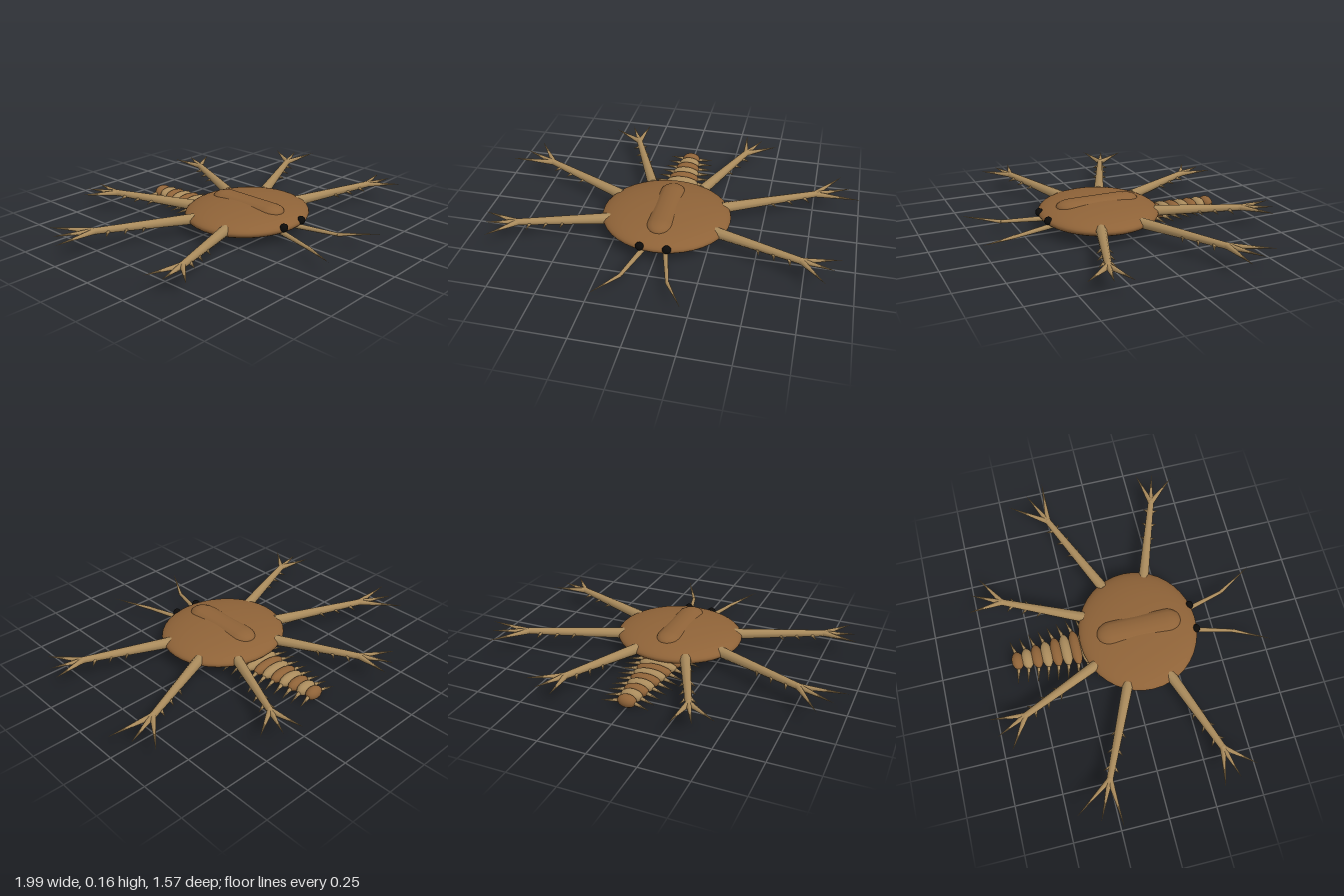
import * as THREE from 'three';

const shell = new THREE.MeshStandardMaterial({ color: 0x8f6338 });
shell.name = 'brown shell';
const limb = new THREE.MeshStandardMaterial({ color: 0xaa8b5c });
limb.name = 'tan limb';
const black = new THREE.MeshStandardMaterial({ color: 0x0c0b0a });
black.name = 'black eye';

const V = (x, y, z) => new THREE.Vector3(x, y, z);
const UP = V(0, 1, 0);

function add(parent, name, geometry, material) {
  const mesh = new THREE.Mesh(geometry, material);
  mesh.name = name;
  parent.add(mesh);
  return mesh;
}

// Tapered round rod from a to b; a zero end radius gives a spike
function rod(parent, name, a, b, r0, r1, material, sides = 10) {
  const dir = b.clone().sub(a);
  const mesh = add(parent, name, new THREE.CylinderGeometry(r1, r0, dir.length(), sides), material);
  mesh.position.copy(a).addScaledVector(dir, 0.5);
  mesh.quaternion.setFromUnitVectors(UP, dir.normalize());
  return mesh;
}

function ellipsoid(parent, name, c, r, material, w = 16, h = 12) {
  const mesh = add(parent, name, new THREE.SphereGeometry(1, w, h), material);
  mesh.position.copy(c);
  mesh.scale.copy(r);
  return mesh;
}

// Straight leg with side barbs and a three-pronged claw
function leg(parent, name, s, base, end, tips) {
  const g = new THREE.Group();
  g.name = name;
  parent.add(g);
  const a = V(s * base[0], 0.09, base[1]);
  const b = V(s * end[0], 0.108, end[1]);
  rod(g, 'legShaft', a, b, 0.029, 0.017, limb, 10);
  const along = b.clone().sub(a).normalize();
  const side = V(along.z, 0, -along.x).normalize();
  for (const t of [0.52, 0.7, 0.88]) {
    for (const k of [-1, 1]) {
      const root = a.clone().lerp(b, t).addScaledVector(side, k * 0.01);
      root.y -= 0.006;
      const tip = root.clone().addScaledVector(side, k * 0.033).addScaledVector(along, 0.022);
      tip.y -= 0.018;
      rod(g, 'legBarb', root, tip, 0.011, 0, limb, 6);
    }
  }
  ellipsoid(g, 'ankle', b, V(0.018, 0.018, 0.018), limb, 10, 8);
  for (const [x, z] of tips) rod(g, 'clawProng', b, V(s * x, 0.113, z), 0.016, 0, limb, 8);
}

export function createModel() {
  const model = new THREE.Group();
  model.name = 'armouredCrawler';

  // Flat oval body with a raised ridge along the back
  ellipsoid(model, 'body', V(0, 0.086, 0.085), V(0.342, 0.067, 0.32), shell, 40, 24);
  const ridge = add(model, 'backRidge', new THREE.CapsuleGeometry(0.07, 0.26, 6, 12), shell);
  ridge.rotation.x = Math.PI / 2;
  ridge.scale.set(1, 1.15, 0.5);
  ridge.position.set(0, 0.131, 0.09);

  // Segmented tail, starting under the body
  const tail = new THREE.Group();
  tail.name = 'tail';
  model.add(tail);
  for (let i = 0; i < 10; i++) {
    const z = -0.103 - i * 0.0533;
    const rx = 0.125 - i * 0.0083;
    ellipsoid(tail, 'tailSegment', V(0, 0.035, z), V(rx, 0.034, 0.033), i % 2 ? shell : limb, 16, 10);
    for (const s of [-1, 1]) {
      rod(tail, 'tailSpine', V(s * (rx - 0.02), 0.032, z), V(s * (rx + 0.078), 0.022, z - 0.024), 0.013, 0, limb, 6);
    }
  }

  // Mirrored legs, eyes and feelers
  for (const s of [-1, 1]) {
    leg(model, 'frontLeg', s, [0.28, 0.188], [0.73, 0.348], [[0.855, 0.5], [0.9, 0.395], [0.925, 0.305]]);
    leg(model, 'middleLeg', s, [0.28, -0.038], [0.75, -0.25], [[0.89, -0.45], [0.945, -0.34], [0.997, -0.235]]);
    leg(model, 'rearLeg', s, [0.14, -0.18], [0.325, -0.595], [[0.305, -0.79], [0.405, -0.76], [0.495, -0.7]]);

    ellipsoid(model, 'eye', V(s * 0.07, 0.096, 0.393), V(0.023, 0.022, 0.021), black, 14, 10);

    const feeler = new THREE.Group();
    feeler.name = 'feeler';
    model.add(feeler);
    const bend = V(s * 0.117, 0.058, 0.59);
    rod(feeler, 'feelerBase', V(s * 0.058, 0.062, 0.37), bend, 0.014, 0.009, limb, 8);
    rod(feeler, 'feelerTip', bend, V(s * 0.222, 0.082, 0.78), 0.01, 0, limb, 8);
  }
  return model;
}
